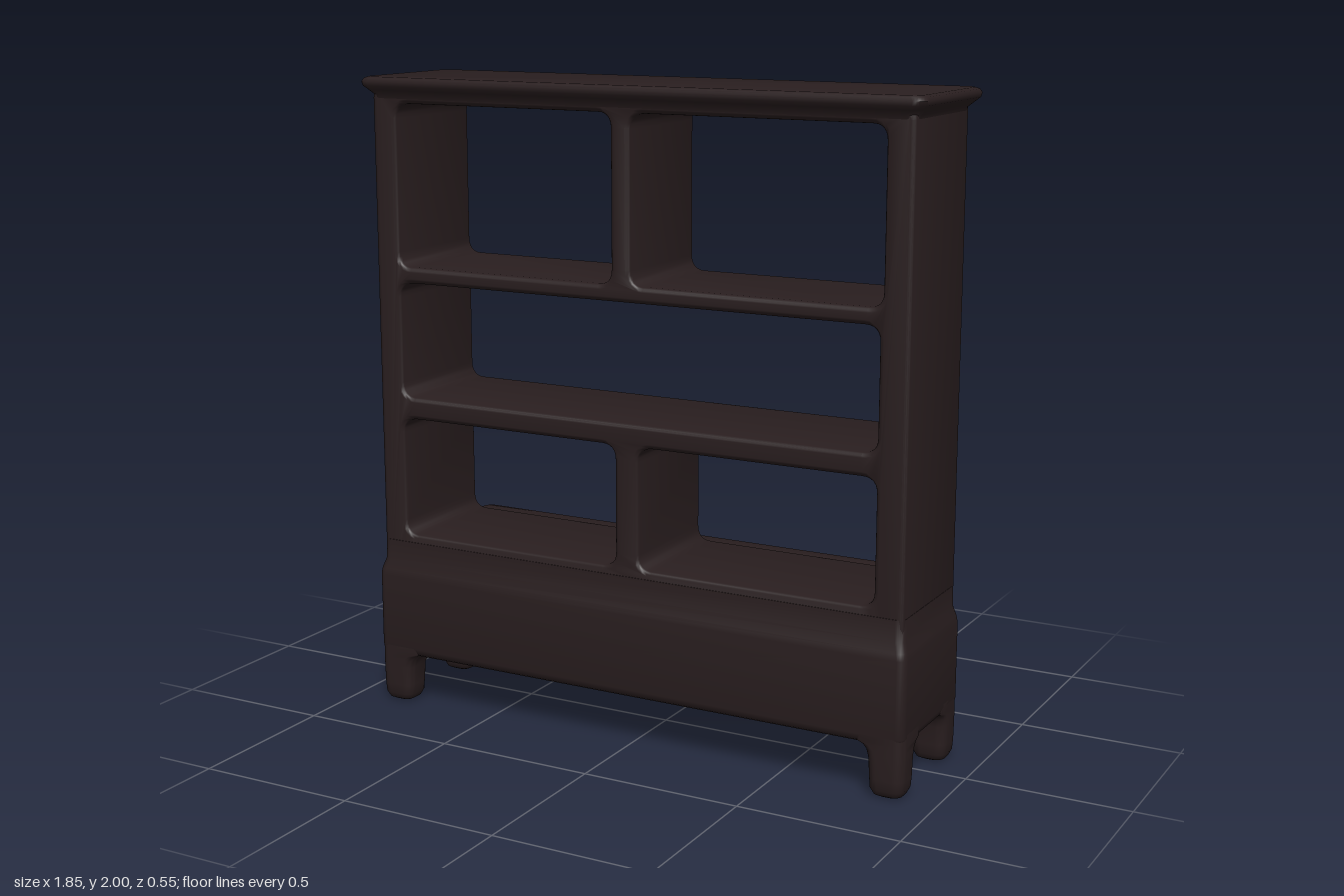
import * as THREE from 'three';
import { toCreasedNormals } from 'three/addons/utils/BufferGeometryUtils.js';

const wood = new THREE.MeshStandardMaterial({ color: 0x291e1f });
wood.name = 'darkWood';

// Stack of rounded rectangles, each [y, x0, x1, z0, z1, cornerRadius], bottom to top
function loft(name, sections) {
  const pos = [], index = [], steps = 6, n = 4 * (steps + 1);
  for (const [y, x0, x1, z0, z1, r] of sections) {
    const corners = [[x1 - r, z1 - r], [x0 + r, z1 - r], [x0 + r, z0 + r], [x1 - r, z0 + r]];
    corners.forEach(([cx, cz], k) => {
      for (let i = 0; i <= steps; i++) {
        const a = (k + i / steps) * Math.PI / 2;
        pos.push(cx + r * Math.cos(a), y, cz + r * Math.sin(a));
      }
    });
  }
  for (let s = 0; s < sections.length - 1; s++) {
    for (let i = 0; i < n; i++) {
      const p = s * n + i, q = s * n + (i + 1) % n;
      index.push(p, p + n, q, q, p + n, q + n);
    }
  }
  // End caps
  const last = sections.length - 1;
  for (const s of [0, last]) {
    const [y, x0, x1, z0, z1] = sections[s];
    const c = pos.length / 3;
    pos.push((x0 + x1) / 2, y, (z0 + z1) / 2);
    for (let i = 0; i < n; i++) {
      const p = s * n + i, q = s * n + (i + 1) % n;
      if (s === 0) index.push(c, p, q); else index.push(c, q, p);
    }
  }
  const geo = new THREE.BufferGeometry();
  geo.setAttribute('position', new THREE.Float32BufferAttribute(pos, 3));
  geo.setIndex(index);
  const mesh = new THREE.Mesh(toCreasedNormals(geo, 0.9), wood);
  mesh.name = name;
  return mesh;
}

function roundedRect(path, x0, x1, y0, y1, r) {
  path.moveTo(x0 + r, y0);
  path.lineTo(x1 - r, y0);
  path.quadraticCurveTo(x1, y0, x1, y0 + r);
  path.lineTo(x1, y1 - r);
  path.quadraticCurveTo(x1, y1, x1 - r, y1);
  path.lineTo(x0 + r, y1);
  path.quadraticCurveTo(x0, y1, x0, y1 - r);
  path.lineTo(x0, y0 + r);
  path.quadraticCurveTo(x0, y0, x0 + r, y0);
  return path;
}

export function createModel() {
  const group = new THREE.Group();
  group.name = 'bookcase';

  // Shelf body: sides, shelves and dividers around five open compartments
  const outline = roundedRect(new THREE.Shape(), -0.89, 0.89, 0.3, 1.975, 0.04);
  const openings = [
    [-0.805, -0.053, 1.42, 1.92], [0.012, 0.805, 1.42, 1.92],
    [-0.803, 0.797, 1.01, 1.37],
    [-0.803, -0.043, 0.565, 0.94], [0.037, 0.797, 0.565, 0.94],
  ];
  for (const o of openings) outline.holes.push(roundedRect(new THREE.Path(), ...o, 0.045));
  const bevel = 0.015;
  const bodyGeo = new THREE.ExtrudeGeometry(outline, {
    depth: 0.4 - 2 * bevel, bevelEnabled: true, bevelThickness: bevel,
    bevelSize: bevel, bevelOffset: -bevel, bevelSegments: 4, curveSegments: 6,
  });
  bodyGeo.translate(0, 0, -0.155 + bevel);
  const body = new THREE.Mesh(toCreasedNormals(bodyGeo, 0.9), wood);
  body.name = 'shelfBody';
  group.add(body);

  // Top board with a flared moulding
  const topRing = (y, x, z0, z1, r = 0.035) => [y, -x, x, z0, z1, r];
  group.add(loft('topBoard', [
    topRing(1.928, 0.888, -0.153, 0.243, 0.02),
    topRing(1.945, 0.893, -0.16, 0.248),
    topRing(1.96, 0.908, -0.178, 0.26),
    topRing(1.972, 0.921, -0.19, 0.27),
    topRing(1.985, 0.924, -0.193, 0.273),
    topRing(1.995, 0.918, -0.189, 0.268),
    topRing(2.0, 0.906, -0.178, 0.258),
  ]));

  // Plinth with a stepped upper edge
  const plinthRing = (y, x, z0, z1) => [y, -x, x, z0, z1, 0.025];
  group.add(loft('plinth', [
    plinthRing(0.165, 0.89, -0.155, 0.25),
    plinthRing(0.172, 0.9, -0.165, 0.26),
    plinthRing(0.19, 0.905, -0.17, 0.264),
    plinthRing(0.425, 0.905, -0.17, 0.264),
    plinthRing(0.445, 0.902, -0.167, 0.261),
    plinthRing(0.475, 0.893, -0.16, 0.25),
    plinthRing(0.54, 0.891, -0.156, 0.247),
  ]));

  // Bulging back panel with a ledge above it
  const backRing = (y, x, z, r = 0.04) => [y, -x - 0.01, x - 0.01, z, -0.1, r];
  group.add(loft('backPanel', [
    backRing(0.167, 0.8, -0.175, 0.02),
    backRing(0.176, 0.815, -0.228),
    backRing(0.19, 0.825, -0.255),
    backRing(0.21, 0.832, -0.271),
    backRing(0.425, 0.832, -0.273),
    backRing(0.442, 0.828, -0.264),
    backRing(0.452, 0.822, -0.242),
    backRing(0.465, 0.818, -0.234),
    backRing(0.53, 0.815, -0.235),
    backRing(0.548, 0.805, -0.23),
    backRing(0.557, 0.785, -0.212, 0.03),
  ]));

  // Four rounded feet that widen where they meet the plinth
  for (const sx of [-1, 1]) {
    for (const front of [true, false]) {
      const ring = (y, inset, spread, r) => {
        const xo = 0.905 - inset, xi = 0.793 + inset - spread;
        const zo = 0.264 - inset, zi = 0.16 + inset - spread;
        const x = sx > 0 ? [xi, xo] : [-xo, -xi];
        const z = front ? [zi, zo] : [0.094 - zo, 0.094 - zi];
        return [y, ...x, ...z, r];
      };
      group.add(loft(`${front ? 'front' : 'back'}${sx > 0 ? 'Left' : 'Right'}Foot`, [
        ring(0.003, 0.025, 0, 0.02),
        ring(0.01, 0.012, 0, 0.025),
        ring(0.028, 0.003, 0, 0.03),
        ring(0.06, 0.001, 0, 0.03),
        ring(0.12, 0, 0.002, 0.03),
        ring(0.145, 0, 0.009, 0.03),
        ring(0.16, 0, 0.022, 0.03),
        ring(0.17, 0, 0.045, 0.03),
        ring(0.2, 0, 0.045, 0.03),
      ]));
    }
  }
  return group;
}
